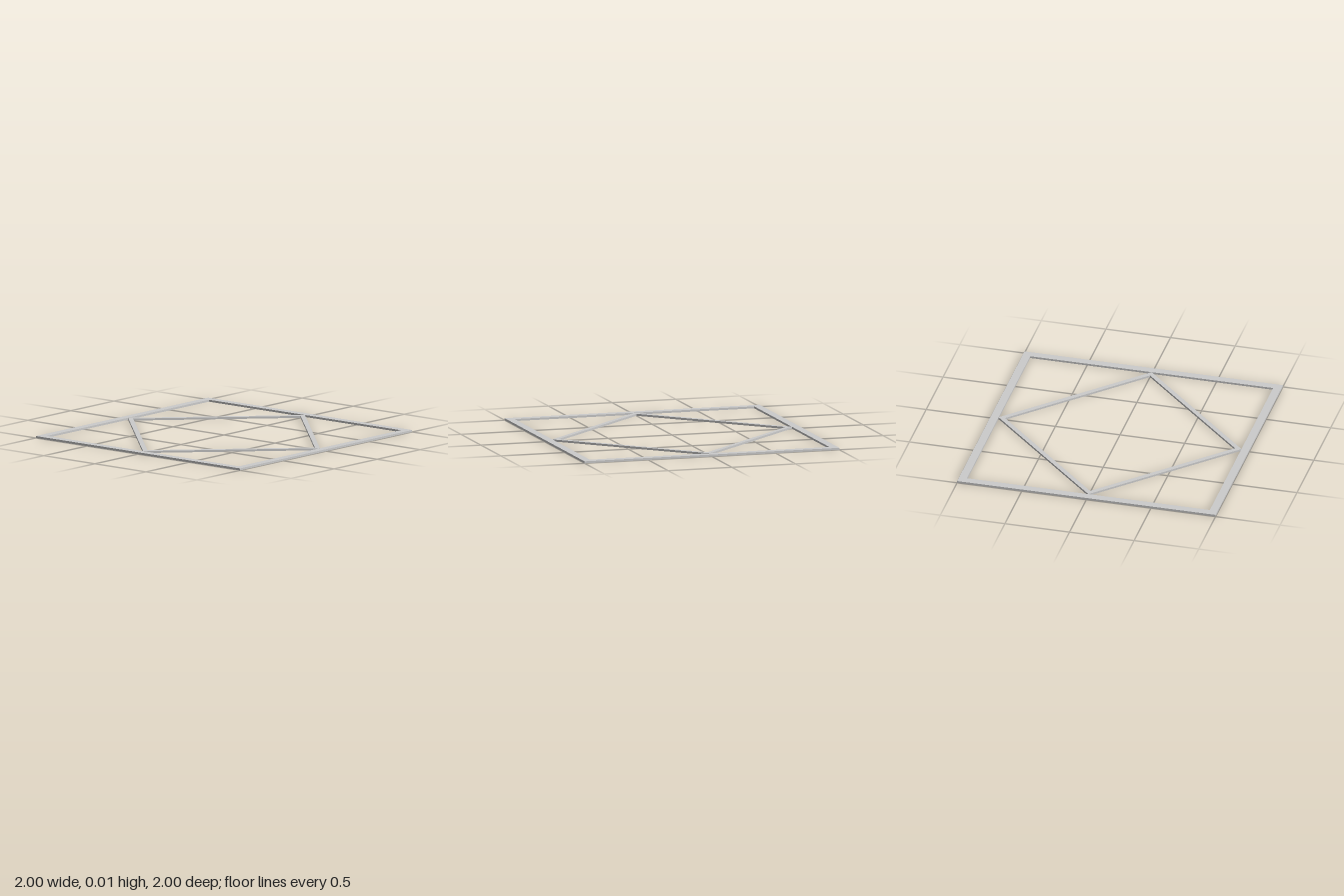
import * as THREE from 'three';

const HEIGHT = 0.015;
const material = new THREE.MeshStandardMaterial({ color: 0xcccccc, flatShading: true });

// Square outline (corner points) with the given corner radius
function square(Type, radius, turn) {
  const points = [0, 1, 2, 3].map((i) => {
    const a = turn + (i * Math.PI) / 2;
    return new THREE.Vector2(Math.cos(a) * radius, Math.sin(a) * radius);
  });
  return new Type(points);
}

// Flat square frame lying on the ground
function frame(name, outer, inner, turn) {
  const shape = square(THREE.Shape, outer, turn);
  shape.holes.push(square(THREE.Path, inner, turn));
  const geometry = new THREE.ExtrudeGeometry(shape, { depth: HEIGHT, bevelEnabled: false });
  geometry.rotateX(-Math.PI / 2);
  const mesh = new THREE.Mesh(geometry, material);
  mesh.name = name;
  return mesh;
}

export function createModel() {
  const group = new THREE.Group();
  group.name = 'nestedFrames';
  // Wide outer border, and a narrow diamond touching its inner sides
  group.add(frame('outerFrame', Math.SQRT2, 0.94 * Math.SQRT2, Math.PI / 4));
  group.add(frame('innerDiamond', 0.94, 0.89, 0));
  return group;
}
